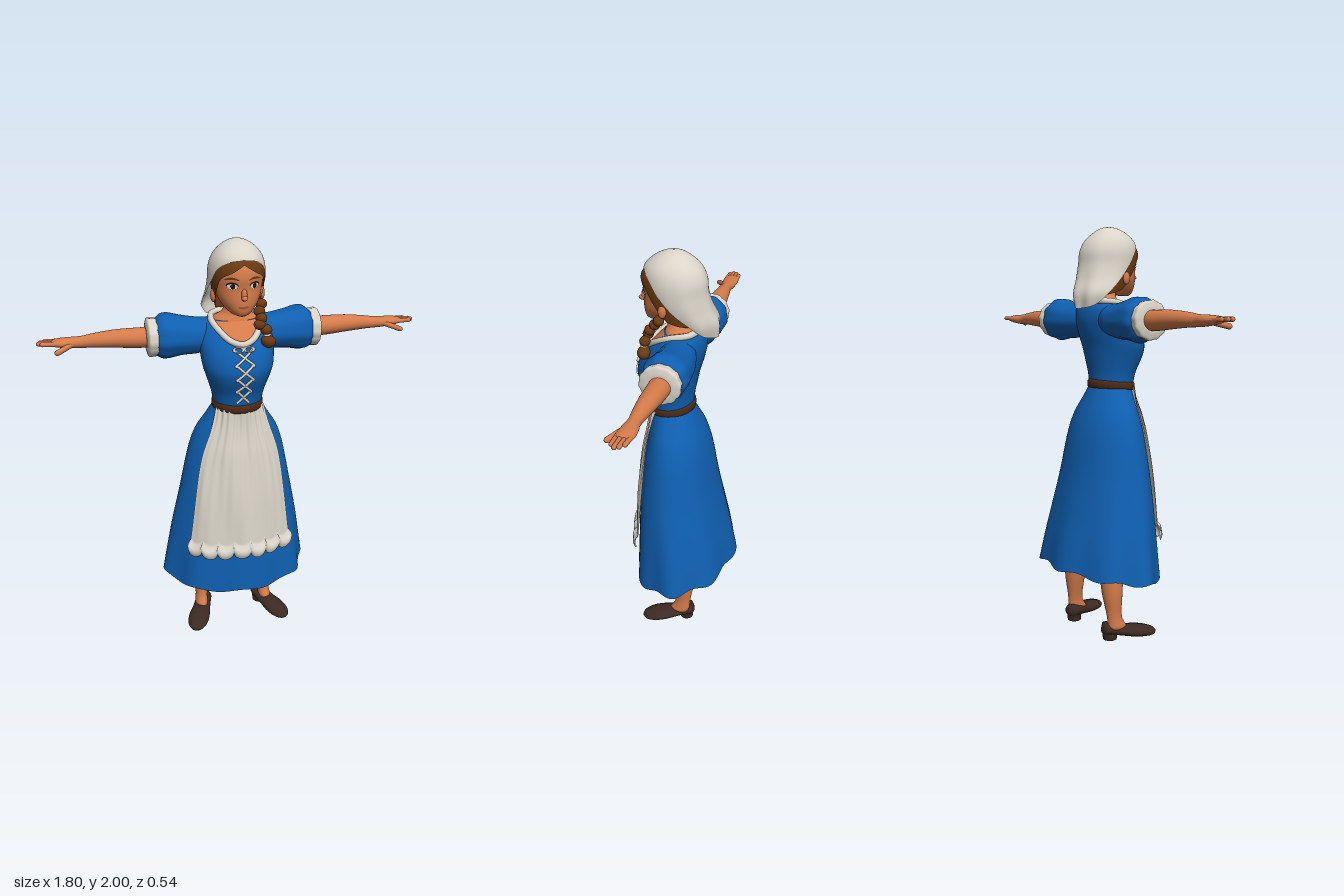
import * as THREE from 'three';

const { sin, cos, abs, PI, sqrt, max, min, asin } = Math;
const mat = (name, color, double) => {
  const m = new THREE.MeshStandardMaterial({ color });
  m.name = name;
  if (double) m.side = THREE.DoubleSide;
  return m;
};

// Smooth interpolation of a table by its first column
function sample(rows, t) {
  let i = 0;
  while (i < rows.length - 2 && t > rows[i + 1][0]) i++;
  const A = rows[i], B = rows[i + 1], P = rows[i - 1] ?? A, N = rows[i + 2] ?? B;
  const d = B[0] - A[0], s = min(1, max(0, (t - A[0]) / d)), s2 = s * s, s3 = s2 * s;
  return A.map((a, k) => {
    const b = B[k], m0 = (b - P[k]) / (B[0] - P[0]) * d, m1 = (N[k] - a) / (N[0] - A[0]) * d;
    return a * (2 * s3 - 3 * s2 + 1) + m0 * (s3 - 2 * s2 + s) + b * (3 * s2 - 2 * s3) + m1 * (s3 - s2);
  });
}

// Grid surface f(u, v) -> [x, y, z]; wrap joins the u ends
function sheet(nu, nv, f, wrap = false) {
  const pos = [], idx = [], cols = wrap ? nu : nu + 1;
  for (let j = 0; j <= nv; j++) for (let i = 0; i < cols; i++) pos.push(...f(i / nu, j / nv));
  for (let j = 0; j < nv; j++) for (let i = 0; i < nu; i++) {
    const a = j * cols + i, b = j * cols + (i + 1) % cols;
    idx.push(a, b, b + cols, a, b + cols, a + cols);
  }
  const g = new THREE.BufferGeometry();
  g.setAttribute('position', new THREE.Float32BufferAttribute(pos, 3));
  g.setIndex(idx);
  g.computeVertexNormals();
  return g;
}

// Point on an oval section; rows are [y, half width, front z, back z, centre x]
function ring(rows, a, t) {
  const r = sample(rows, t);
  return [(r[4] ?? 0) + r[1] * sin(a), t, (r[2] + r[3]) / 2 + (r[2] - r[3]) / 2 * cos(a)];
}
const frontZ = (rows, x, y) => {
  const r = sample(rows, y);
  return (r[2] + r[3]) / 2 + (r[2] - r[3]) / 2 * sqrt(max(0, 1 - (x / r[1]) ** 2));
};

// Closed loft through oval sections, with capped ends
function loft(rows, nu = 32, nv = 24, mod = p => p) {
  const lo = rows[0][0], hi = rows.at(-1)[0];
  return sheet(nu, nv + 2, (u, v) => {
    const j = Math.round(v * (nv + 2)), w = min(1, max(0, (j - 1) / nv));
    const t = lo + (hi - lo) * w, a = u * 2 * PI;
    if (j === 0 || j === nv + 2) {
      const r = sample(rows, t);
      return [r[4] ?? 0, t, (r[2] + r[3]) / 2];
    }
    return mod(ring(rows, a, t), a, w);
  }, true);
}

function mirrored(geo) {
  const g = geo.clone().applyMatrix4(new THREE.Matrix4().makeScale(-1, 1, 1)), ix = g.index.array;
  for (let i = 0; i < ix.length; i += 3) [ix[i], ix[i + 1]] = [ix[i + 1], ix[i]];
  return g;
}
const V = (x, y, z) => new THREE.Vector3(x, y, z);
const tube = (pts, r, closed = false, n = 40) =>
  new THREE.TubeGeometry(new THREE.CatmullRomCurve3(pts, closed), n, r, 8, closed);
const ball = (x, y, z, rx, ry, rz) => new THREE.SphereGeometry(1, 20, 14).scale(rx, ry, rz).translate(x, y, z);
function capsule(a, b, r) {
  const d = b.clone().sub(a), g = new THREE.CapsuleGeometry(r, d.length(), 6, 10);
  g.applyQuaternion(new THREE.Quaternion().setFromUnitVectors(V(0, 1, 0), d.normalize()));
  return g.translate((a.x + b.x) / 2, (a.y + b.y) / 2, (a.z + b.z) / 2);
}

const torso = [[1.22, .112, .175, -.03], [1.3, .125, .19, -.035], [1.38, .15, .225, -.05], [1.43, .165, .233, -.06],
  [1.5, .174, .21, -.08], [1.56, .178, .165, -.09], [1.61, .162, .12, -.085], [1.635, .13, .095, -.075]];
const skirt = [[.31, .365, .25, -.255], [.45, .345, .243, -.232], [.6, .32, .235, -.2], [.8, .278, .222, -.157],
  [1, .235, .197, -.12], [1.1, .2, .178, -.09], [1.17, .155, .168, -.06], [1.24, .112, .165, -.03]];
const head = [[1.675, .02, .175, .12], [1.685, .045, .187, .07], [1.71, .07, .195, .03], [1.75, .095, .197, -.01],
  [1.8, .11, .195, -.05], [1.85, .115, .2, -.065], [1.9, .105, .185, -.055], [1.95, .07, .14, -.02]];
const hair = [[1.64, .08, .1, -.05], [1.72, .103, .17, -.05], [1.8, .119, .203, -.06], [1.88, .12, .208, -.07],
  [1.93, .098, .176, -.045], [1.965, .06, .125, 0]];
const kerchief = [[1.61, .095, .09, -.14, -.03], [1.68, .125, .12, -.143, -.025], [1.75, .13, .16, -.115, -.008],
  [1.82, .13, .192, -.097, 0], [1.88, .127, .2, -.09, 0], [1.93, .11, .188, -.065, 0], [1.97, .075, .145, -.02, 0],
  [1.993, .034, .098, .02, 0], [2, .002, .062, .058, 0]];
const hairline = [[0, 1.905], [.45, 1.872], [.9, 1.84], [1.2, 1.77], [1.5, 1.7], [PI, 1.66]];
const kerchiefEdge = [[0, 1.925], [.6, 1.912], [1.05, 1.87], [1.57, 1.74], [2.2, 1.635], [PI, 1.61]];
const apronWidth = [[.46, .25], [.8, .21], [1, .175], [1.15, .125], [1.24, .1]];

// Skirt surface with folds and a hem that rises to the back
function skirtPoint(a, t, out = 0) {
  const p = ring(skirt, a, t), k = max(0, (1.24 - t) / .93);
  const s = 1 + .035 * k ** 2.5 * sin(8 * a + .8);
  return [p[0] * s + out * sin(a), p[1] + k ** 4 * (.008 - .04 * cos(a) + .008 * cos(9 * a)),
    .03 + (p[2] - .03) * s + out * cos(a)];
}

export function createModel() {
  const root = new THREE.Group();
  root.name = 'villageWoman';
  const skin = mat('skin', 0xd47b4a), blue = mat('blueCloth', 0x0f5fb0, true), white = mat('creamCloth', 0xdad4c8, true);
  const brown = mat('brownHair', 0x6a3a12, true), leather = mat('beltLeather', 0x4c2a16), shoe = mat('shoeLeather', 0x3b2a22);
  const eyeWhite = mat('eyeWhite', 0xf0ece6), dark = mat('darkBrown', 0x24160f), lip = mat('lips', 0xa9513a);
  const add = (name, geo, m) => {
    const o = new THREE.Mesh(geo, m);
    o.name = name;
    root.add(o);
  };
  const pair = (name, geo, m) => {
    add(name + 'Left', geo, m);
    add(name + 'Right', mirrored(geo), m);
  };

  // Dress
  add('bodice', loft(torso, 48, 32), blue);
  add('skirt', sheet(128, 40, (u, v) => skirtPoint(u * 2 * PI, .31 + .93 * v), true), blue);
  add('belt', loft([[1.215, .112, .17, -.03], [1.222, .121, .186, -.039], [1.25, .121, .187, -.04], [1.262, .113, .178, -.03]],
    40, 10, (p, a) => [p[0], p[1] + .004 - .008 * cos(a), p[2]]), leather);

  // Apron with gathered top and scalloped hem
  add('apron', sheet(112, 50, (u, v) => {
    const s = 2 * u - 1, low = .515 - .028 * sqrt(abs(sin(u * 7 * PI)));
    const y = low + (1.24 - low) * v, rx = sample(skirt, y)[1];
    const lim = asin(min(.92, sample(apronWidth, y)[1] / rx)), a = s * lim - .05 * (1 - v);
    const frill = v < .08 ? .014 * sin(v / .08 * PI) + .006 : 0;
    return skirtPoint(a, y, .014 + frill + .003 * sin(s * 9 + v * 6) + .003 * v * cos(s * 30));
  }), white);

  // Neck, chest and collar
  add('neck', loft([[1.6, .125, .105, -.07], [1.64, .105, .096, -.055], [1.66, .07, .088, -.035],
    [1.69, .052, .088, -.02], [1.76, .05, .1, -.02]]), skin);
  add('chest', sheet(24, 12, (u, v) => {
    const s = 2 * u - 1, x = .108 * s, b = 1.55 + .08 * s * s, y = b + (1.634 - b) * v;
    return [x, y, frontZ(torso, x, y) + .004];
  }), skin);
  const half = [[.05, 1.562], [.09, 1.597]].map(([x, y]) => V(x, y, frontZ(torso, x, y) + .006));
  half.push(V(.115, 1.635, .045), V(.09, 1.648, -.035));
  const flip = half.map(p => V(-p.x, p.y, p.z)).reverse();
  add('collar', tube([V(0, 1.548, frontZ(torso, 0, 1.548) + .006), ...half, V(0, 1.65, -.066), ...flip], .015, true, 90), white);

  // Crossed laces and bow
  for (let i = 0; i < 4; i++) {
    const y = 1.27 + i * .065, w = .028 + i * .004;
    const pts = [-1, -.5, 0, .5, 1].map(s => V(s * w, y + .031 + s * .031, frontZ(torso, s * w, y + .031 + s * .031) + .006));
    pair('lace' + i, tube(pts, .006, false, 12), white);
    pair('eyelet' + i, ball(w + .003, y + .062, frontZ(torso, w, y + .062) + .004, .009, .008, .007), white);
  }
  pair('bowLoop', new THREE.TorusGeometry(.017, .005, 8, 20).scale(1.3, .7, 1).rotateX(-.7)
    .translate(.024, 1.53, frontZ(torso, .02, 1.53) + .01), white);

  // Sleeves, cuffs, arms and hands, lofted along x
  const along = (rows, mod) => loft(rows, 40, 24, mod).rotateZ(-PI / 2).translate(0, 1.558, 0);
  pair('sleeve', along([[.06, .06, .06, -.06, 0], [.12, .076, .085, -.08, 0], [.18, .084, .092, -.092, .004], [.25, .092, .097, -.1, 0],
    [.31, .104, .1, -.104, -.002], [.345, .1, .095, -.1, 0], [.372, .078, .078, -.08, .002]],
    (p, a, w) => { const s = 1 + .03 * w * sin(9 * a); return [p[0] * s, p[1], p[2] * s]; }), blue);
  pair('cuff', along([[.355, .065, .065, -.065], [.362, .083, .083, -.087], [.385, .088, .089, -.094], [.405, .085, .086, -.09], [.413, .055, .055, -.06]],
    (p, a) => { const s = 1 + .025 * sin(12 * a); return [p[0] * s, p[1], p[2] * s]; }), white);
  pair('arm', along([[.36, .046, .044, -.056, 0], [.45, .046, .042, -.055, 0], [.55, .041, .038, -.047, -.004], [.65, .032, .03, -.034, -.003],
    [.7, .027, .026, -.028, 0], [.74, .025, .032, -.036, 0], [.79, .021, .037, -.041, -.002], [.83, .014, .034, -.037, -.004]]), skin);
  const tips = [.872, .892, .9, .884];
  tips.forEach((x, i) => {
    const z = -.029 + i * .0185;
    pair('finger' + i, capsule(V(.8, 1.562, z), V(x - .01, 1.564, z * .9), .0105), skin);
  });
  pair('thumb', capsule(V(.745, 1.555, .02), V(.812, 1.535, .068), .0125), skin);

  // Legs and shoes
  pair('leg', loft([[.045, .034, .05, -.065, .175], [.085, .031, .02, -.068, .173], [.12, .031, .008, -.07, .17], [.25, .052, .015, -.09, .16],
    [.4, .058, .03, -.095, .145], [.7, .075, .06, -.09, .1]]), skin);
  const foot = g => g.rotateY(.38).translate(.17, 0, -.012);
  pair('shoe', foot(loft([[-.08, .012, -.035, -.06], [-.07, .034, -.024, -.086], [-.03, .041, -.022, -.08], [.03, .046, -.012, -.066],
    [.09, .054, -.003, -.062], [.145, .05, -.001, -.052], [.185, .03, -.004, -.038], [.198, .006, -.014, -.025]], 28, 28).rotateX(PI / 2)), shoe);
  pair('shoeHeel', foot(new THREE.CylinderGeometry(.038, .034, .036, 20).translate(0, .018, -.038)), shoe);

  // Head and face
  add('head', loft(head, 40, 40), skin);
  add('nose', ball(0, 1.777, .201, .013, .028, .013), skin);
  add('noseTip', ball(0, 1.764, .21, .014, .011, .017), skin);
  pair('ear', ball(.113, 1.755, .08, .012, .03, .019), skin);
  const decal = (x0, y0, w, h, off, bend = 0) => sheet(24, 4, (u, v) => {
    const a = -u * 2 * PI, sx = v * cos(a), x = x0 + w * sx, y = y0 + h * v * sin(a) - bend * sx * sx;
    return [x, y, frontZ(head, x, y) + off];
  }, true);
  pair('eyeOutline', decal(.05, 1.817, .025, .016, .002), dark);
  pair('eyeWhite', decal(.05, 1.814, .022, .012, .004), eyeWhite);
  pair('iris', decal(.049, 1.815, .01, .012, .006), dark);
  pair('eyebrow', decal(.052, 1.849, .03, .005, .003, .008), brown);
  add('mouth', decal(0, 1.72, .025, .006, .003, -.002), lip);

  // Hair, braid and kerchief
  const cover = (rows, edge, nv, mod = p => p) => sheet(72, nv, (u, v) => {
    const a = u * 2 * PI, lo = sample(edge, min(a, 2 * PI - a))[1], top = rows.at(-1)[0];
    return mod(ring(rows, a, lo + (top - lo) * sin(v * PI / 2)), a, v);
  }, true);
  add('hair', cover(hair, hairline, 20), brown);
  add('kerchief', cover(kerchief, kerchiefEdge, 36, (p, a, v) => {
    const s = 1 + .05 * (1 - v) ** 2 * max(0, -cos(a)) * sin(7 * a);
    return [p[0] * s, p[1], p[2] * s];
  }), white);
  const path = new THREE.CatmullRomCurve3([V(.088, 1.735, .075), V(.1, 1.69, .115), V(.085, 1.645, .15), V(.105, 1.605, .163)]);
  for (let i = 0; i < 6; i++) {
    const p = path.getPoint(i / 5), side = i % 2 ? .008 : -.008;
    add('braid' + i, ball(p.x + side, p.y, p.z, .027, .024, .025).clone(), brown);
  }
  add('braidTie', ball(.115, 1.583, .166, .018, .009, .018), white);
  add('braidEnd', loft([[1.52, .006, .172, .16, .125], [1.535, .028, .19, .14, .125], [1.56, .034, .195, .138, .122], [1.582, .014, .18, .152, .115]], 20, 12), brown);
  return root;
}
